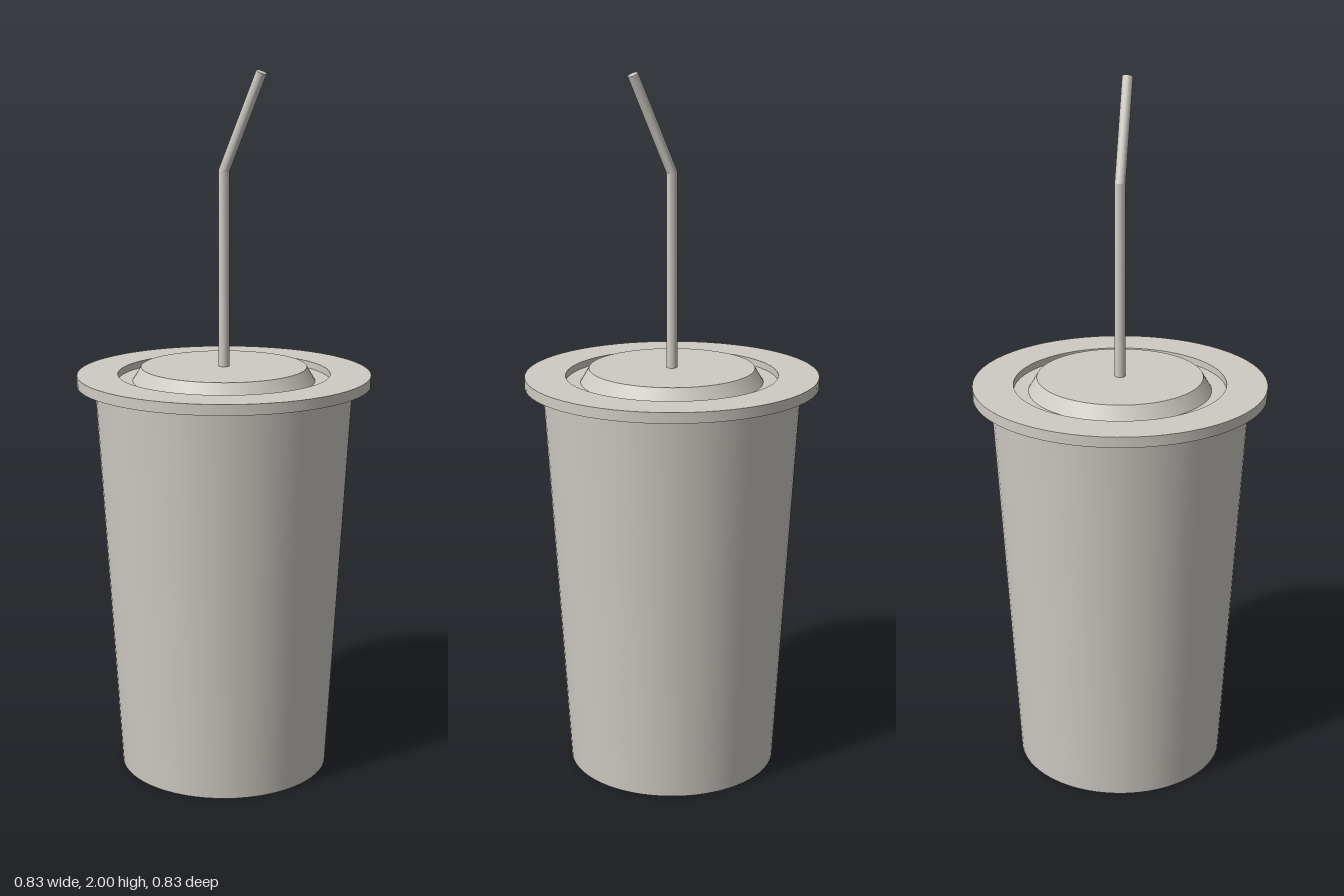
import * as THREE from 'three';
import { toCreasedNormals } from 'three/addons/utils/BufferGeometryUtils.js';

const plastic = new THREE.MeshStandardMaterial({ color: 0xcfcbc4 });
plastic.name = 'warm grey plastic';

function addPart(group, name, geometry) {
  const mesh = new THREE.Mesh(toCreasedNormals(geometry, 0.35), plastic);
  mesh.name = name;
  group.add(mesh);
}

function turned(profile) {
  return new THREE.LatheGeometry(profile.map(([r, y]) => new THREE.Vector2(r, y)), 64);
}

// Round straw with one mitred bend and flat ends
function bentStraw(radius, start, bend, end) {
  const up = new THREE.Vector3(0, 1, 0);
  const dir = end.clone().sub(bend).normalize();
  const tilt = new THREE.Quaternion().setFromUnitVectors(up, dir);
  const mitre = up.clone().add(dir);
  const geometry = new THREE.CylinderGeometry(radius, radius, 2, 32, 2);
  const pos = geometry.attributes.position;
  const v = new THREE.Vector3();
  for (let i = 0; i < pos.count; i++) {
    v.fromBufferAttribute(pos, i);
    const level = Math.round(v.y);
    v.y = 0;
    if (level < 0) v.add(start);
    else if (level > 0) v.applyQuaternion(tilt).add(end);
    else {
      v.y = -v.dot(mitre) / mitre.y;
      v.add(bend);
    }
    pos.setXYZ(i, v.x, v.y, v.z);
  }
  return geometry;
}

export function createModel() {
  const group = new THREE.Group();
  group.name = 'drinkCup';

  // Tapered cup with a recessed base
  addPart(group, 'cup', turned([
    [0, 0.025], [0.275, 0.025], [0.275, 0], [0.3, 0], [0.365, 1.135],
  ]));

  // Wide flat lid with a sunken ring around a raised centre
  addPart(group, 'lid', turned([
    [0, 1.13], [0.415, 1.13], [0.415, 1.16], [0.3, 1.16],
    [0.3, 1.14], [0.258, 1.14], [0.234, 1.18], [0, 1.18],
  ]));

  addPart(group, 'straw', bentStraw(
    0.015,
    new THREE.Vector3(0, 1.15, 0),
    new THREE.Vector3(0, 1.727, 0),
    new THREE.Vector3(0.099, 1.994, 0.073),
  ));

  return group;
}
